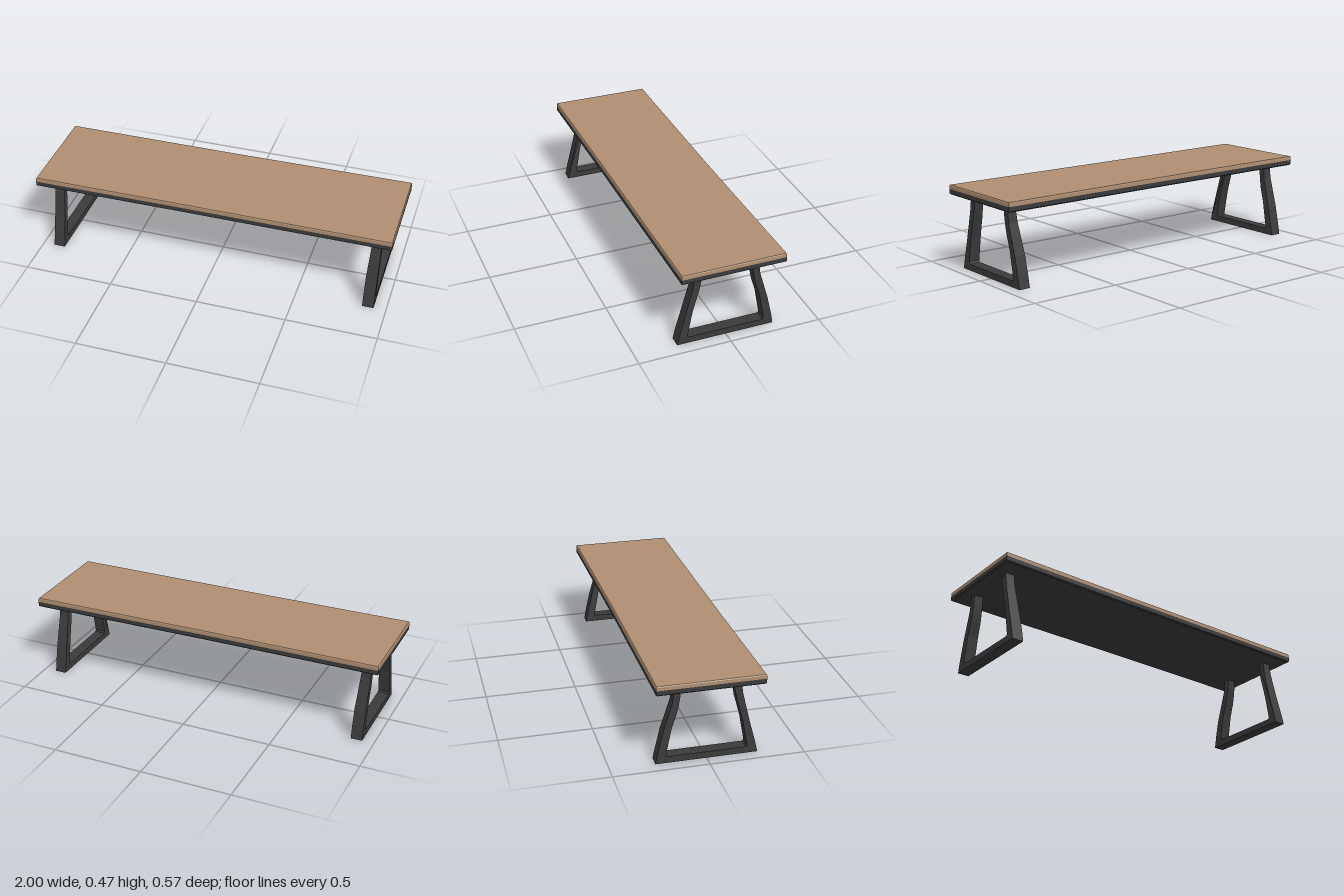
import * as THREE from 'three';

const wood = new THREE.MeshStandardMaterial({ color: 0xb08f72 });
wood.name = 'wood';
const darkMetal = new THREE.MeshStandardMaterial({ color: 0x3b3b3b });
darkMetal.name = 'darkMetal';

// Slightly skewed plank outline as [x, z]
const PLANK = [[-1, 0.283], [-0.2, 0.277], [1, 0.275], [1, -0.29], [0, -0.279], [-1, -0.278]];

function shapeFrom(points) {
  return new THREE.Shape(points.map(([a, b]) => new THREE.Vector2(a, b)));
}

// Moves every vertex by a rule, then rebuilds the normals
function bend(geometry, rule) {
  const pos = geometry.attributes.position;
  const v = new THREE.Vector3();
  for (let i = 0; i < pos.count; i++) {
    v.fromBufferAttribute(pos, i);
    rule(v);
    pos.setXYZ(i, v.x, v.y, v.z);
  }
  geometry.computeVertexNormals();
  return geometry;
}

// Flat slab whose edge is chamfered at one height only
function slab(name, material, y0, y1, chamferY, inset) {
  const geometry = new THREE.ExtrudeGeometry(shapeFrom(PLANK.map(([x, z]) => [x, -z])), {
    depth: y1 - y0, steps: 5, bevelEnabled: false,
  });
  geometry.rotateX(-Math.PI / 2);
  geometry.translate(0, y0, 0);
  bend(geometry, (v) => {
    if (Math.abs(v.y - chamferY) < 1e-4) {
      v.x -= Math.sign(v.x) * inset;
      v.z -= Math.sign(v.z) * inset;
    }
  });
  const mesh = new THREE.Mesh(geometry, material);
  mesh.name = name;
  return mesh;
}

// Leg frame: a foot bar with two curved, inward-leaning uprights, as [z, y]
function legFrame(name, side) {
  const outline = shapeFrom([
    [0.268, 0], [0.252, 0.07], [0.225, 0.17], [0.203, 0.26], [0.184, 0.34], [0.178, 0.38], [0.176, 0.42],
    [0.138, 0.42], [0.141, 0.37], [0.152, 0.31], [0.164, 0.27], [0.187, 0.185], [0.212, 0.045], [0.207, 0.035],
    [-0.207, 0.035], [-0.212, 0.045], [-0.184, 0.19], [-0.158, 0.27], [-0.147, 0.32], [-0.14, 0.365], [-0.134, 0.42],
    [-0.172, 0.42], [-0.174, 0.38], [-0.181, 0.33], [-0.205, 0.25], [-0.23, 0.165], [-0.252, 0.07], [-0.266, 0],
  ]);
  const depth = 0.063;
  const geometry = new THREE.ExtrudeGeometry(outline, { depth, bevelEnabled: false });
  geometry.rotateY(-Math.PI / 2);
  geometry.translate(side > 0 ? 0.932 : -0.935 + depth, 0, 0);
  // The inner face tapers outward near the top
  bend(geometry, (v) => {
    if (Math.abs(v.x) < 0.9) v.x += side * 0.014 * Math.max(0, (v.y - 0.15) / 0.27);
  });
  const mesh = new THREE.Mesh(geometry, darkMetal);
  mesh.name = name;
  return mesh;
}

export function createModel() {
  const bench = new THREE.Group();
  bench.name = 'bench';
  bench.add(
    slab('seatTop', wood, 0.443, 0.466, 0.466, 0.003),
    slab('seatFrame', darkMetal, 0.413, 0.443, 0.413, 0.007),
    legFrame('leftLegFrame', 1),
    legFrame('rightLegFrame', -1),
  );
  return bench;
}
